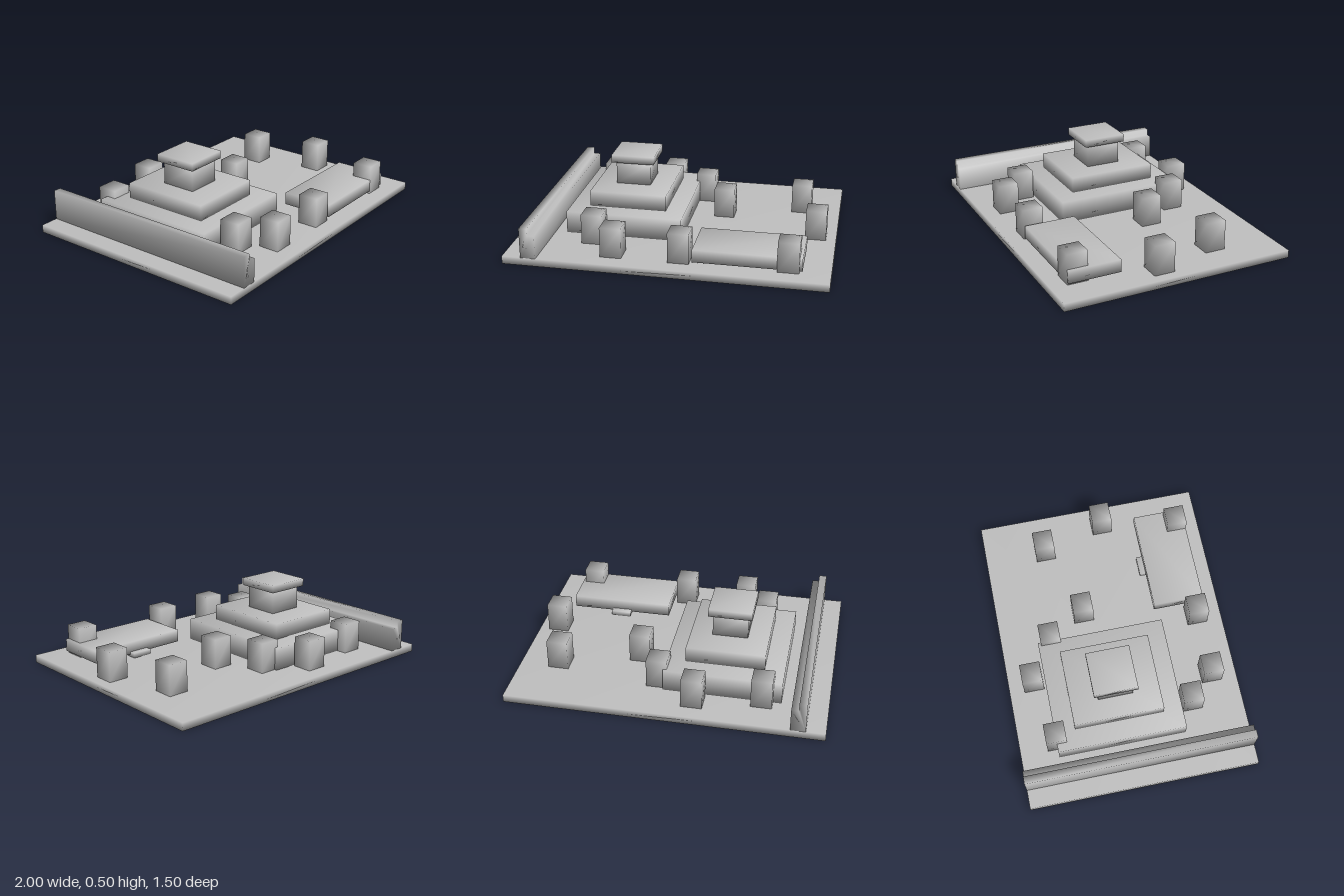
import * as THREE from 'three';
import { mergeVertices } from 'three/addons/utils/BufferGeometryUtils.js';

// Share the corners so normals blend softly across the edges
function soften(geometry) {
  geometry.deleteAttribute('uv');
  geometry.deleteAttribute('normal');
  const merged = mergeVertices(geometry, 1e-4);
  merged.clearGroups();
  merged.computeVertexNormals();
  return merged;
}

export function createModel() {
  const group = new THREE.Group();
  const stone = new THREE.MeshStandardMaterial({ color: 0xc0c0c0 });
  stone.name = 'light grey';

  function add(name, geometry) {
    const mesh = new THREE.Mesh(soften(geometry), stone);
    mesh.name = name;
    group.add(mesh);
  }

  // Box given by its lower and upper limits on each axis
  function block(name, [x0, x1], [y0, y1], [z0, z1]) {
    const box = new THREE.BoxGeometry(x1 - x0, y1 - y0, z1 - z0);
    box.translate((x0 + x1) / 2, (y0 + y1) / 2, (z0 + z1) / 2);
    add(name, box);
  }

  // Ground slab
  block('ground', [-1, 1], [0, 0.05], [-0.75, 0.75]);

  // Stepped tower
  block('towerBase', [-0.71, 0.037], [0.05, 0.193], [-0.505, 0.33]);
  block('towerTerrace', [-0.585, -0.085], [0.193, 0.295], [-0.375, 0.205]);
  block('towerRoom', [-0.45, -0.225], [0.295, 0.445], [-0.197, 0.03]);
  block('towerRoof', [-0.478, -0.197], [0.445, 0.495], [-0.225, 0.055]);

  // Raised platform with its step
  block('platform', [0.165, 0.83], [0.067, 0.148], [0.31, 0.645]);
  block('platformStep', [0.43, 0.56], [0.05, 0.083], [0.27, 0.4]);

  // Long boundary wall with a stepped profile
  const profile = new THREE.Shape([
    [-0.88, 0.05], [-0.785, 0.05], [-0.785, 0.2],
    [-0.83, 0.2], [-0.83, 0.245], [-0.88, 0.245],
  ].map(([x, y]) => new THREE.Vector2(x, y)));
  const wall = new THREE.ExtrudeGeometry(profile, { depth: 1.5, bevelEnabled: false });
  wall.translate(0, 0, -0.75);
  add('boundaryWall', wall);

  // Square shrubs, by centre x and z
  const r = 0.066;
  [
    [-0.59, -0.505], [-0.17, -0.585], [0.08, -0.42], [0.245, -0.17], [0.745, -0.34],
    [0.87, 0.08], [-0.505, 0.41], [-0.34, 0.58], [0.08, 0.58], [0.745, 0.58],
  ].forEach(([x, z], i) =>
    block(`shrub${i + 1}`, [x - r, x + r], [0.05, 0.243], [z - r, z + r]));

  return group;
}
